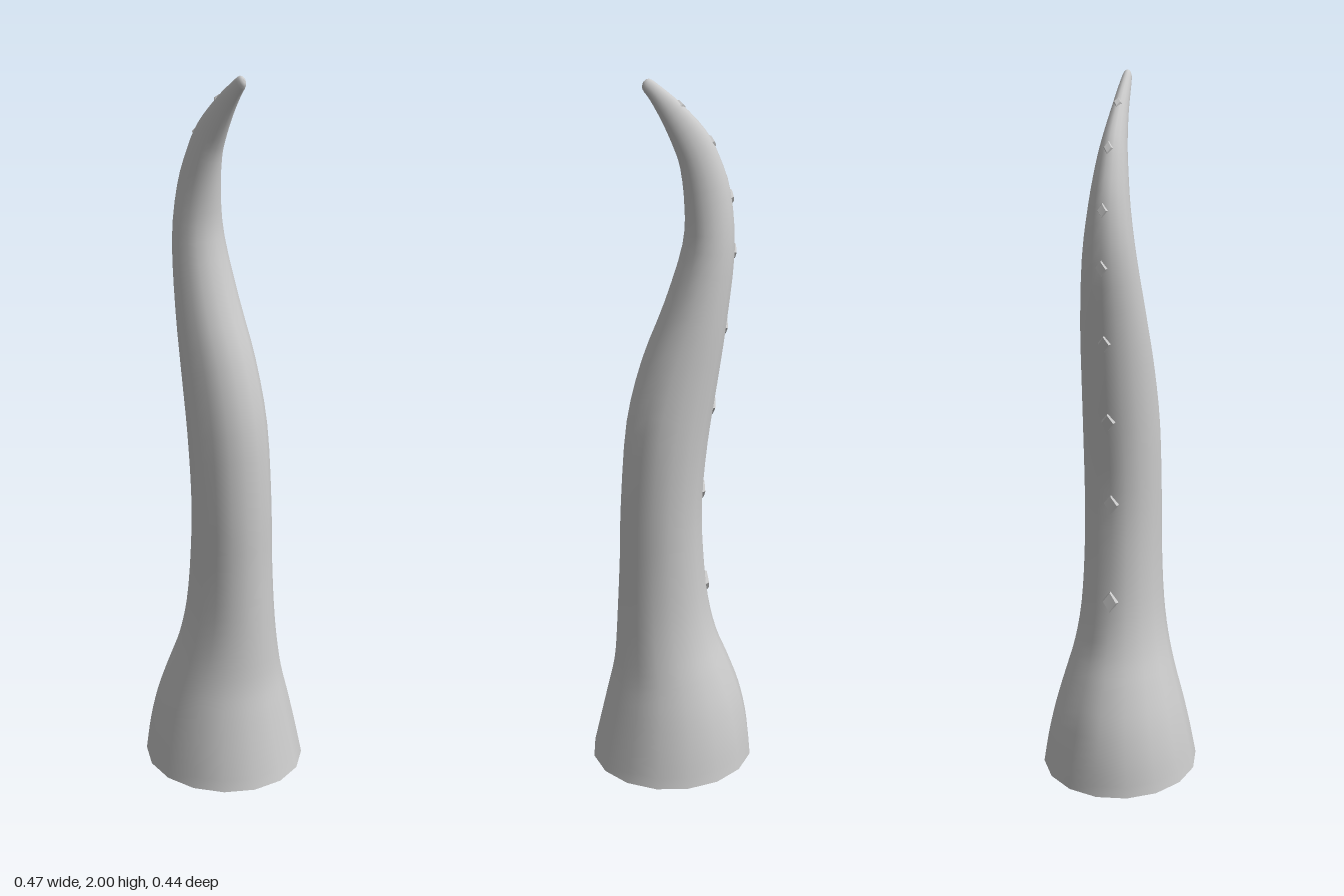
import * as THREE from 'three';

const SIDES = 16, RINGS = 54;

// Each row is one cross-section: outer edge x, y, inner edge x, y, half depth in z
const SECTIONS = [
  [-0.234, 0, 0.234, 0, 0.222],
  [-0.222, 0.1, 0.212, 0.1, 0.205],
  [-0.2, 0.2, 0.19, 0.2, 0.183],
  [-0.165, 0.3, 0.171, 0.29, 0.157],
  [-0.13, 0.39, 0.163, 0.39, 0.133],
  [-0.105, 0.5, 0.157, 0.5, 0.117],
  [-0.09, 0.65, 0.15, 0.65, 0.109],
  [-0.085, 0.82, 0.145, 0.82, 0.107],
  [-0.1, 1.0, 0.127, 1.05, 0.105],
  [-0.125, 1.17, 0.083, 1.23, 0.098],
  [-0.148, 1.34, 0.02, 1.39, 0.088],
  [-0.168, 1.54, -0.029, 1.55, 0.071],
  [-0.157, 1.69, -0.033, 1.66, 0.054],
  [-0.125, 1.79, -0.022, 1.76, 0.041],
  [-0.088, 1.86, -0.003, 1.82, 0.031],
  [-0.025, 1.93, 0.027, 1.888, 0.021],
  [0.03, 1.978, 0.056, 1.942, 0.015],
  [0.058, 1.998, 0.076, 1.972, 0.01],
  [0.073, 1.992, 0.075, 1.988, 0.001],
];

const curveOf = (pick) =>
  new THREE.CatmullRomCurve3(SECTIONS.map(pick), false, 'catmullrom', 0.5);
const outer = curveOf((s) => new THREE.Vector3(s[0], s[1], s[4])); // z carries the half depth
const inner = curveOf((s) => new THREE.Vector3(s[2], s[3], 0));

// Hollow curved body, open at the base
function tentacleGeometry() {
  const positions = [], index = [];
  for (let i = 0; i <= RINGS; i++) {
    const o = outer.getPoint(i / RINGS), n = inner.getPoint(i / RINGS);
    for (let j = 0; j < SIDES; j++) {
      const a = (j / SIDES) * Math.PI * 2, c = Math.cos(a) / 2;
      positions.push(
        (o.x + n.x) / 2 + (n.x - o.x) * c,
        (o.y + n.y) / 2 + (n.y - o.y) * c,
        o.z * Math.sin(a)
      );
      if (i < RINGS) {
        const p = i * SIDES + j, q = i * SIDES + ((j + 1) % SIDES);
        index.push(p, p + SIDES, q, q, p + SIDES, q + SIDES);
      }
    }
  }
  // Close the tip
  const last = RINGS * SIDES;
  for (let j = 1; j < SIDES - 1; j++) index.push(last, last + j + 1, last + j);
  const geometry = new THREE.BufferGeometry();
  geometry.setAttribute('position', new THREE.Float32BufferAttribute(positions, 3));
  geometry.setIndex(index);
  geometry.computeVertexNormals();
  return geometry;
}

// Position along the outer edge at a given height
function outerParameter(y) {
  let lo = 0, hi = 0.94;
  for (let k = 0; k < 30; k++) {
    const mid = (lo + hi) / 2;
    if (outer.getPoint(mid).y < y) lo = mid;
    else hi = mid;
  }
  return lo;
}

export function createModel() {
  const model = new THREE.Group();
  model.name = 'tentacle';

  const body = new THREE.Mesh(
    tentacleGeometry(),
    new THREE.MeshStandardMaterial({ color: 0xcccccc, side: THREE.DoubleSide })
  );
  body.name = 'body';
  model.add(body);

  // Row of small diamond suckers along the outer edge, shrinking to the tip
  const suckers = new THREE.Group();
  suckers.name = 'suckers';
  const material = new THREE.MeshStandardMaterial({ color: 0xcccccc, flatShading: true });
  const diamond = new THREE.CylinderGeometry(0.7, 1, 1, 4);
  [0.55, 0.84, 1.09, 1.32, 1.53, 1.68, 1.83, 1.93].forEach((y, i) => {
    const t = outerParameter(y), size = 1 - i * 0.08;
    const along = outer.getTangent(t).setZ(0).normalize();
    const out = new THREE.Vector3(-along.y, along.x, 0);
    const sucker = new THREE.Mesh(diamond, material);
    sucker.name = 'sucker';
    sucker.quaternion.setFromRotationMatrix(
      new THREE.Matrix4().makeBasis(along, out, new THREE.Vector3(0, 0, 1))
    );
    sucker.scale.set(0.04 * size, 0.018 * size, 0.027 * size);
    sucker.position.copy(outer.getPoint(t).setZ(0)).addScaledVector(out, -0.003 * size);
    suckers.add(sucker);
  });
  model.add(suckers);
  return model;
}
